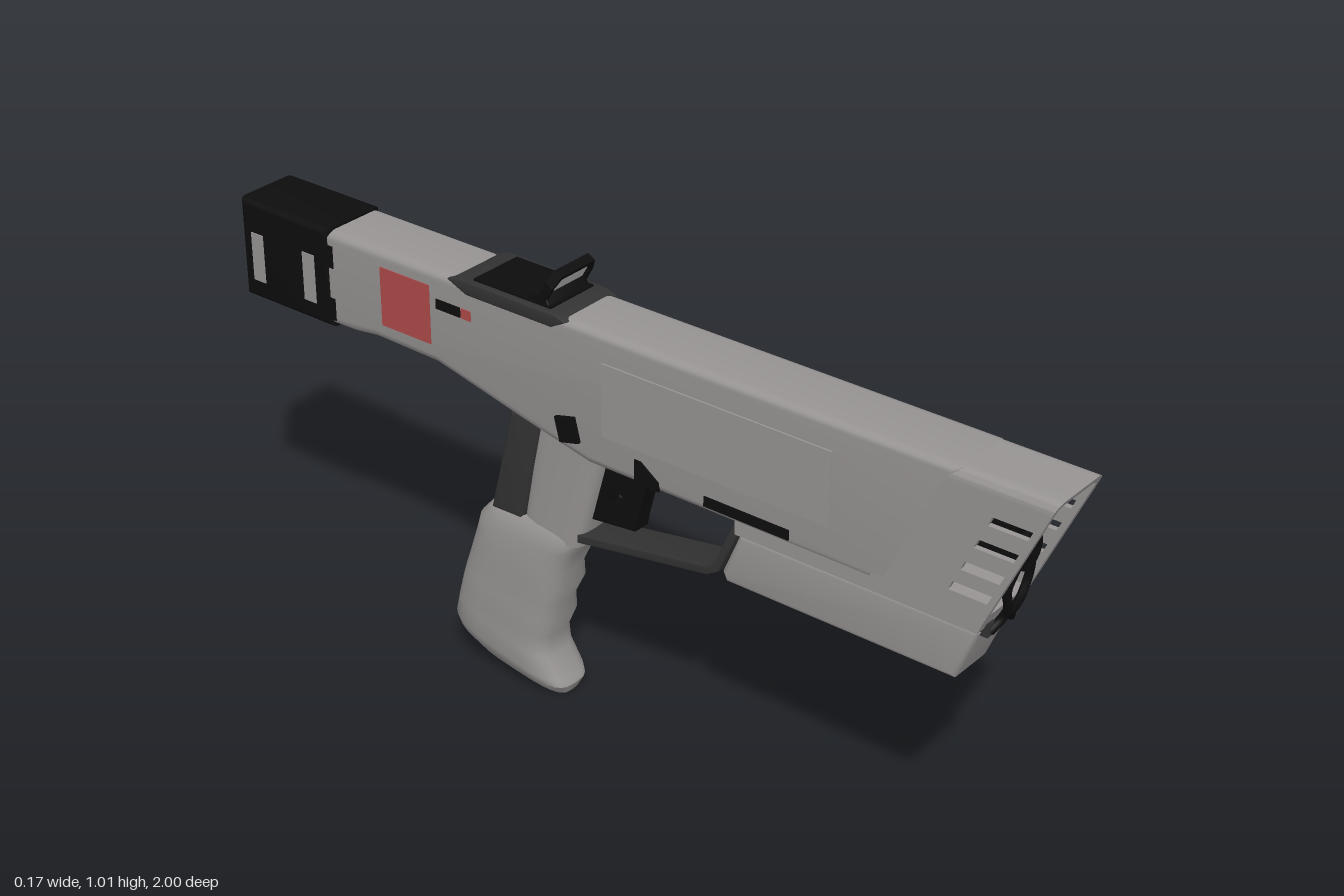
import * as THREE from 'three';
import { toCreasedNormals } from 'three/addons/utils/BufferGeometryUtils.js';

const mat = (name, color, side = THREE.FrontSide) => {
  const m = new THREE.MeshStandardMaterial({ color, side });
  m.name = name;
  return m;
};

export function createModel() {
  const grey = mat('shell grey', 0x989494);
  const black = mat('matte black', 0x0d0d0d);
  const dark = mat('dark grey', 0x333333);
  const red = mat('marking red', 0xb04a4a);
  const glass = mat('pale glass', 0xc4c2c2, THREE.DoubleSide);

  const model = new THREE.Group();
  model.name = 'sciFiBlaster';
  const W = 0.077, SLANT = 0.446;                    // body half width, nose slant
  const noseZ = (y) => 1 - SLANT * (0.925 - y);
  const V = (p) => p.map(([a, b]) => new THREE.Vector2(a, b));

  const add = (name, geometry, material, x = 0, y = 0, z = 0) => {
    const mesh = new THREE.Mesh(geometry, material);
    mesh.name = name;
    mesh.position.set(x, y, z);
    model.add(mesh);
    return mesh;
  };
  const box = (name, m, w, h, d, x, y, z) => add(name, new THREE.BoxGeometry(w, h, d), m, x, y, z);

  // Side outline of [z, y] points, extruded across x with a rounded edge
  const side = (name, m, pts, half, bevel = 0, holes = [], x = 0) => {
    const shape = new THREE.Shape(V(pts));
    holes.forEach((h) => shape.holes.push(new THREE.Path(V(h))));
    const depth = 2 * (half - bevel);
    let g = new THREE.ExtrudeGeometry(shape, {
      depth, bevelEnabled: bevel > 0, bevelThickness: bevel, bevelSize: bevel, bevelOffset: -bevel, bevelSegments: 4,
    });
    g.translate(0, 0, -depth / 2).rotateY(-Math.PI / 2);
    return add(name, toCreasedNormals(g, 0.5), m, x);
  };

  // Rounded loft; each section is [frontZ, frontY, backZ, backY, halfWidth], bottom to top
  const loft = (name, m, sections, power = 0.6, N = 28) => {
    const pos = [], idx = [];
    const soft = (v) => Math.sign(v) * Math.abs(v) ** power;
    for (const [zf, yf, zb, yb, h] of sections) {
      for (let j = 0; j < N; j++) {
        const a = (j / N) * Math.PI * 2, t = (1 - soft(Math.cos(a))) / 2;
        pos.push(soft(Math.sin(a)) * h, yf + (yb - yf) * t, zf + (zb - zf) * t);
      }
    }
    const last = (sections.length - 1) * N, c = sections.length * N;
    for (const s of [sections[0], sections.at(-1)]) pos.push(0, (s[1] + s[3]) / 2, (s[0] + s[2]) / 2);
    for (let j = 0; j < N; j++) {
      const k = (j + 1) % N;
      for (let i = 0; i < last; i += N) idx.push(i + j, i + k, i + N + k, i + j, i + N + k, i + N + j);
      idx.push(c, k, j, c + 1, last + j, last + k);
    }
    const g = new THREE.BufferGeometry();
    g.setAttribute('position', new THREE.Float32BufferAttribute(pos, 3));
    g.setIndex(idx);
    return add(name, toCreasedNormals(g, 0.7), m);
  };

  // Main body
  side('body', grey, [
    [0.8, 0.925], [-0.76, 0.925], [-0.76, 0.71], [-0.68, 0.712], [-0.62, 0.72], [-0.45, 0.716],
    [-0.22, 0.662], [-0.05, 0.625], [0.666, 0.625],
  ], W, 0.02);

  // Hollow slanted nose: two slotted walls, a rounded roof and a floor
  const slots = [0.845, 0.79, 0.735, 0.685].map((y) => {
    const f = (v) => noseZ(v) - 0.014;
    return [[f(y + 0.01), y + 0.01], [f(y + 0.01) - 0.083, y + 0.01], [f(y - 0.01) - 0.083, y - 0.01], [f(y - 0.01), y - 0.01]];
  });
  for (const s of [-1, 1]) {
    side('noseWall', grey, [[noseZ(0.88), 0.88], [0.72, 0.88], [0.62, 0.625], [noseZ(0.625), 0.625]],
      0.006, 0, slots, s * (W - 0.006));
  }
  const roof = new THREE.Shape();
  roof.moveTo(-W, 0.88).lineTo(-W, 0.9);
  roof.quadraticCurveTo(-W, 0.925, -W + 0.025, 0.925).lineTo(W - 0.025, 0.925);
  roof.quadraticCurveTo(W, 0.925, W, 0.9).lineTo(W, 0.88).lineTo(W - 0.012, 0.88).lineTo(W - 0.012, 0.9);
  roof.quadraticCurveTo(W - 0.012, 0.913, W - 0.027, 0.913).lineTo(-W + 0.027, 0.913);
  roof.quadraticCurveTo(-W + 0.012, 0.913, -W + 0.012, 0.9).lineTo(-W + 0.012, 0.88);
  const roofGeo = new THREE.ExtrudeGeometry(roof, { depth: 0.25, bevelEnabled: false });
  const rp = roofGeo.attributes.position;
  for (let i = 0; i < rp.count; i++) rp.setZ(i, rp.getZ(i) + 0.75 + SLANT * (rp.getY(i) - 0.925));
  roofGeo.computeVertexNormals();
  add('noseRoof', toCreasedNormals(roofGeo, 0.5), grey);
  side('noseFloor', grey, [[0.874, 0.645], [0.31, 0.645], [0.31, 0.602], [0.856, 0.602]], 0.073);

  // Barrel and the curved arms below it
  add('barrel', new THREE.CylinderGeometry(0.04, 0.04, 0.25, 24).rotateX(Math.PI / 2), black, 0, 0.765, 0.785);
  add('barrelTop', new THREE.BoxGeometry(0.075, 0.02, 0.22), black, 0, 0.815, 0.79);
  for (const s of [-1, 1]) {
    const path = new THREE.CatmullRomCurve3([[0.024, 0.74, 0.9], [0.036, 0.69, 0.89], [0.02, 0.645, 0.885], [0.015, 0.62, 0.875], [0.035, 0.59, 0.86]]
      .map(([x, y, z]) => new THREE.Vector3(s * x, y, z)));
    add('barrelArm', new THREE.TubeGeometry(path, 20, 0.009, 8), black);
    box('armFoot', dark, 0.02, 0.03, 0.03, s * 0.04, 0.6, 0.85);
  }

  // Module under the nose
  side('moduleJoint', black, [[0.84, 0.61], [0.32, 0.61], [0.31, 0.58], [0.83, 0.58]], 0.052);
  side('foreModule', grey, [[0.852, 0.593], [0.31, 0.593], [0.27, 0.495], [0.28, 0.475], [0.805, 0.475]], 0.058, 0.01);
  box('moduleBase', black, 0.094, 0.006, 0.46, 0, 0.475, 0.55);
  add('moduleLens', new THREE.CylinderGeometry(0.03, 0.03, 0.006, 10), grey, 0, 0.471, 0.69);
  box('moduleStripe', red, 0.004, 0.007, 0.42, 0.073, 0.607, 0.58);

  // Trigger guard and trigger
  side('triggerGuard', dark, [
    [0.318, 0.63], [0.297, 0.63], [0.237, 0.492], [0.215, 0.48], [-0.11, 0.425], [-0.11, 0.405], [0.222, 0.46], [0.25, 0.478],
  ], 0.042, 0.003);
  side('trigger', black, [[0.055, 0.595], [-0.02, 0.64], [-0.08, 0.64], [-0.09, 0.46], [0.025, 0.473], [0.03, 0.5]], 0.02, 0,
    [[[0.012, 0.535], [-0.045, 0.555], [-0.05, 0.505]]]);

  // Grip
  loft('gripNeck', grey, [[-0.105, 0.39, -0.26, 0.39, 0.05], [-0.04, 0.63, -0.22, 0.67, 0.05]], 0.5);
  side('gripBackstrap', dark, [[-0.19, 0.67], [-0.275, 0.66], [-0.335, 0.41], [-0.25, 0.41]], 0.053, 0.012);
  loft('gripHandle', grey, [
    [-0.162, 0.0, -0.41, 0.042, 0.045], [-0.152, 0.022, -0.45, 0.085, 0.066], [-0.158, 0.035, -0.46, 0.11, 0.07],
    [-0.193, 0.085, -0.447, 0.16, 0.07], [-0.197, 0.13, -0.437, 0.2, 0.068], [-0.176, 0.18, -0.424, 0.24, 0.071],
    [-0.176, 0.22, -0.415, 0.27, 0.066], [-0.152, 0.27, -0.4, 0.31, 0.071], [-0.152, 0.31, -0.392, 0.34, 0.066],
    [-0.125, 0.365, -0.38, 0.38, 0.067], [-0.104, 0.4, -0.35, 0.415, 0.055], [-0.108, 0.412, -0.335, 0.425, 0.048],
  ]);

  // Rear block with end plate and side windows
  side('rearBlock', black, [[-0.74, 0.93], [-0.998, 0.93], [-0.998, 0.705], [-0.74, 0.705]], 0.08, 0.015);
  const end = new THREE.Shape(V([[-0.068, 0.715], [0.068, 0.715], [0.068, 0.89], [0.045, 0.918], [-0.045, 0.918], [-0.068, 0.89]]));
  add('endPlate', new THREE.ExtrudeGeometry(end, { depth: 0.008, bevelEnabled: false }), grey, 0, 0, -1);
  for (const s of [-1, 1]) {
    box('endNotch', black, 0.025, 0.04, 0.004, s * 0.056, 0.81, -0.999);
    for (const z of [-0.8, -0.95]) box('rearWindow', grey, 0.004, 0.11, 0.034, s * 0.08, 0.805, z);
    for (const y of [0.75, 0.87]) box('rearTooth', black, 0.006, 0.05, 0.02, s * 0.076, y, -0.74);

    // Side markings and controls
    box('redPanel', red, 0.004, 0.132, 0.135, s * W, 0.825, -0.528);
    box('smallSlot', black, 0.004, 0.022, 0.065, s * W, 0.856, -0.41);
    box('slotMark', red, 0.005, 0.022, 0.025, s * W, 0.856, -0.362);
    side('pinCover', black, [[0.13, 0.65], [0.085, 0.682], [0.07, 0.682], [0.07, 0.63], [0.13, 0.63]], 0.003, 0, [], s * W);
    const selector = box('selector', black, 0.014, 0.055, 0.05, s * 0.078, 0.69, -0.098);
    selector.rotation.x = -0.25;
  }
  box('boltSquare', black, 0.005, 0.036, 0.038, W, 0.663, 0.428);
  box('smallMark', red, 0.005, 0.026, 0.024, W, 0.835, 0.655);
  box('selectorLever', black, 0.014, 0.055, 0.035, 0.08, 0.685, -0.09);
  box('accessPanel', grey, 0.008, 0.16, 0.54, -W, 0.785, 0.26);
  box('ejectSlot', black, 0.006, 0.022, 0.2, -W, 0.652, 0.34);

  // Top sight: recessed base, tilted frame and glass
  side('sightBase', dark, [[-0.1, 0.922], [-0.13, 0.931], [-0.38, 0.931], [-0.41, 0.922], [-0.36, 0.9], [-0.14, 0.9]], 0.079, 0.004);
  box('sightDeck', black, 0.13, 0.008, 0.2, 0, 0.931, -0.25);
  side('sightFoot', black, [[-0.155, 0.93], [-0.17, 0.955], [-0.19, 0.955], [-0.22, 0.93]], 0.062, 0.004);
  const outline = V([[-0.062, 0], [0.062, 0], [0.062, 0.07], [0.05, 0.1], [-0.05, 0.1], [-0.062, 0.07]]);
  const frame = new THREE.Shape(outline);
  frame.holes.push(new THREE.Path(V([[-0.053, 0.012], [-0.053, 0.068], [-0.044, 0.09], [0.044, 0.09], [0.053, 0.068], [0.053, 0.012]])));
  const sight = new THREE.Group();
  sight.name = 'sight';
  const hood = new THREE.Mesh(new THREE.ExtrudeGeometry(frame, { depth: 0.02, bevelEnabled: false }), black);
  hood.name = 'sightFrame';
  const pane = new THREE.Mesh(new THREE.ShapeGeometry(new THREE.Shape(V([[-0.053, 0.012], [0.053, 0.012], [0.053, 0.068], [0.044, 0.09], [-0.044, 0.09], [-0.053, 0.068]]))), glass);
  pane.name = 'sightGlass';
  pane.position.z = 0.012;
  sight.add(hood, pane);
  sight.position.set(0, 0.922, -0.2);
  sight.rotation.x = 0.52;
  model.add(sight);

  return model;
}
